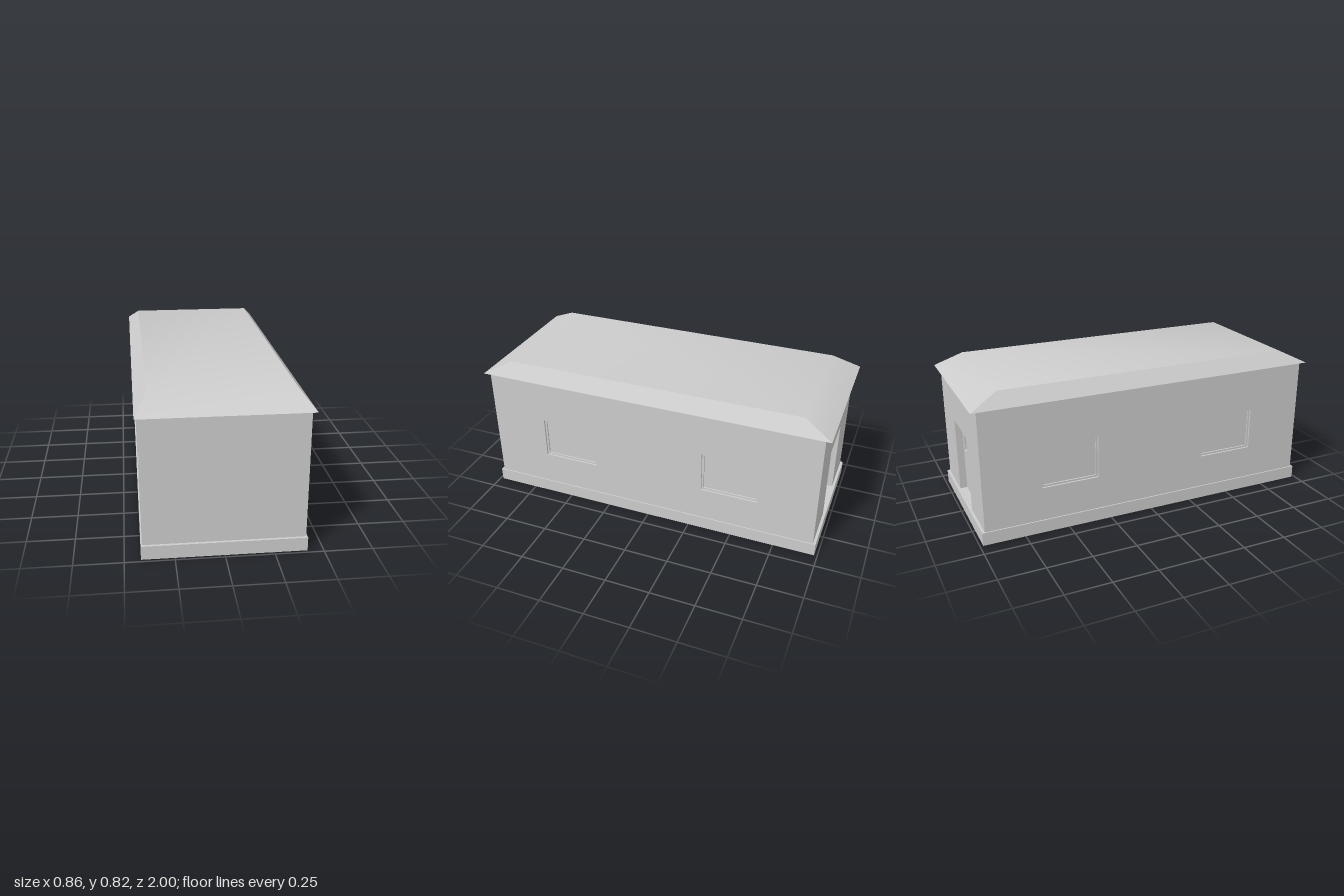
import * as THREE from 'three';
import { toCreasedNormals } from 'three/addons/utils/BufferGeometryUtils.js';

const material = new THREE.MeshStandardMaterial({ color: 0xcccccc });
const HALF_X = 0.411, HALF_Z = 0.968;      // wall planes
const WALL_BOTTOM = 0.04, WALL_TOP = 0.748; // walls start inside the plinth

function part(name, geometry, parent) {
  const mesh = new THREE.Mesh(geometry, material);
  mesh.name = name;
  parent.add(mesh);
  return mesh;
}

// Joins rectangular rings [halfWidth, halfHeight, z]; the last one may be capped.
function loftRects(rings, cap = true) {
  const corners = rings.map(([w, h, z]) => [[-w, -h, z], [w, -h, z], [w, h, z], [-w, h, z]]);
  const pos = [];
  const quad = (a, b, c, d) => pos.push(...a, ...b, ...c, ...a, ...c, ...d);
  for (let r = 0; r < corners.length - 1; r++) {
    for (let i = 0; i < 4; i++) {
      const j = (i + 1) % 4;
      quad(corners[r][i], corners[r][j], corners[r + 1][j], corners[r + 1][i]);
    }
  }
  if (cap) quad(...corners[corners.length - 1]);
  const geo = new THREE.BufferGeometry();
  geo.setAttribute('position', new THREE.Float32BufferAttribute(pos, 3));
  geo.computeVertexNormals();
  return geo;
}

// Flat panel facing +z with rectangular openings {x, y, w, h}, given by centre and size.
function panel(x0, x1, y0, y1, openings) {
  const rect = (P, a, b, c, d) => {
    const p = new P();
    p.moveTo(a, c).lineTo(b, c).lineTo(b, d).lineTo(a, d).closePath();
    return p;
  };
  const shape = rect(THREE.Shape, x0, x1, y0, y1);
  for (const o of openings) {
    shape.holes.push(rect(THREE.Path, o.x - o.w / 2, o.x + o.w / 2, o.y - o.h / 2, o.y + o.h / 2));
  }
  return new THREE.ShapeGeometry(shape);
}

// Recessed window: reveal, frame step, then the pane.
function addWindow(o, parent) {
  const w = o.w / 2, h = o.h / 2, f = 0.011;
  const geo = loftRects([[w, h, 0], [w, h, -0.01], [w - f, h - f, -0.01], [w - f, h - f, -0.018]]);
  part('window', geo, parent).position.set(o.x, o.y, 0);
}

// Recessed doorway with a door leaf that has its own small pane.
function addDoor(o, parent) {
  const w = o.w / 2, h = o.h / 2, depth = 0.04;
  const door = new THREE.Group();
  door.name = 'door';
  door.position.set(o.x, o.y, 0);
  part('doorway', loftRects([[w, h, 0], [w, h, -depth]], false), door);
  const pane = { x: 0, y: 0.117, w: 0.214, h: 0.155 };
  part('doorLeaf', panel(-w, w, -h, h, [pane]), door).position.z = -depth;
  const glass = loftRects([[pane.w / 2, pane.h / 2, 0], [pane.w / 2, pane.h / 2, -0.012]]);
  part('doorPane', glass, door).position.set(pane.x, pane.y, -depth);
  parent.add(door);
}

function addWall(name, halfWidth, distance, angle, openings, fill, parent) {
  const wall = new THREE.Group();
  wall.name = name;
  part(name + 'Face', panel(-halfWidth, halfWidth, WALL_BOTTOM, WALL_TOP, openings), wall);
  openings.forEach((o) => fill(o, wall));
  wall.rotation.y = angle;
  wall.position.set(Math.sin(angle) * distance, 0, Math.cos(angle) * distance);
  parent.add(wall);
}

export function createModel() {
  const model = new THREE.Group();
  model.name = 'cabin';

  // Plinth
  part('plinth', new THREE.BoxGeometry(0.836, 0.073, 1.966), model).position.y = 0.0365;

  // Walls: two windows on each long side, a door at the back
  const windows = [-0.483, 0.483].map((x) => ({ x, y: 0.381, w: 0.324, h: 0.238 }));
  const door = { x: 0, y: 0.289, w: 0.276, h: 0.428 };
  addWall('leftWall', HALF_Z, HALF_X, Math.PI / 2, windows, addWindow, model);
  addWall('rightWall', HALF_Z, HALF_X, -Math.PI / 2, windows, addWindow, model);
  addWall('frontWall', HALF_X, HALF_Z, 0, [], addWindow, model);
  addWall('backWall', HALF_X, HALF_Z, Math.PI, [door], addDoor, model);

  // Roof: soffit, sloping edges and flat top, smooth only over the shallow ends
  const roofGeo = loftRects([[HALF_X, HALF_Z, 0], [0.43, 1, 0], [0.365, 0.845, 0.076]]);
  const roof = part('roof', toCreasedNormals(roofGeo, Math.PI / 6), model);
  roof.rotation.x = -Math.PI / 2;
  roof.position.y = WALL_TOP;

  return model;
}
